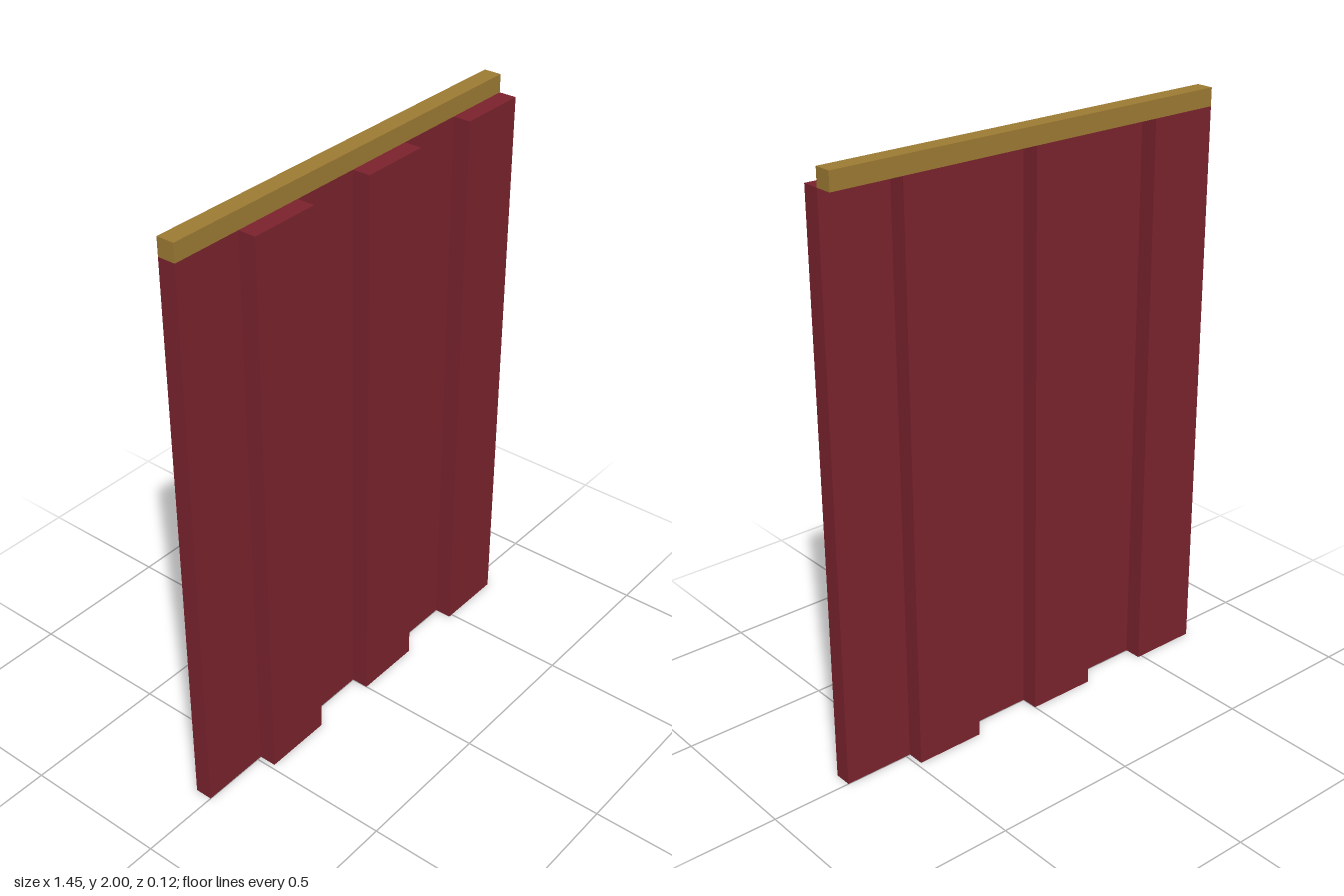
import * as THREE from 'three';

export function createModel() {
  const group = new THREE.Group();
  group.name = 'pleatedCurtain';

  const fabric = new THREE.MeshStandardMaterial({ color: 0x7a222d });
  fabric.name = 'crimson fabric';
  const brass = new THREE.MeshStandardMaterial({ color: 0x9c7a33 });
  brass.name = 'brass';

  const width = 1.454, depth = 0.06, railHeight = 0.06;
  const drop = 2 - railHeight, pleats = 6, pleatWidth = width / pleats;

  const addBox = (name, w, h, x, y, z, material) => {
    const mesh = new THREE.Mesh(new THREE.BoxGeometry(w, h, depth), material);
    mesh.name = name;
    mesh.position.set(x, y, z);
    group.add(mesh);
  };

  // Hanging pleats, alternating behind and in front of the centre plane
  for (let i = 0; i < pleats; i++) {
    const x = -width / 2 + (i + 0.5) * pleatWidth;
    const z = (i % 2 ? 1 : -1) * depth / 2;
    addBox(`pleat${i + 1}`, pleatWidth, drop, x, drop / 2, z, fabric);
  }

  // Rail resting on the rear pleats
  addBox('curtainRail', width, railHeight, 0, drop + railHeight / 2, -depth / 2, brass);

  return group;
}
